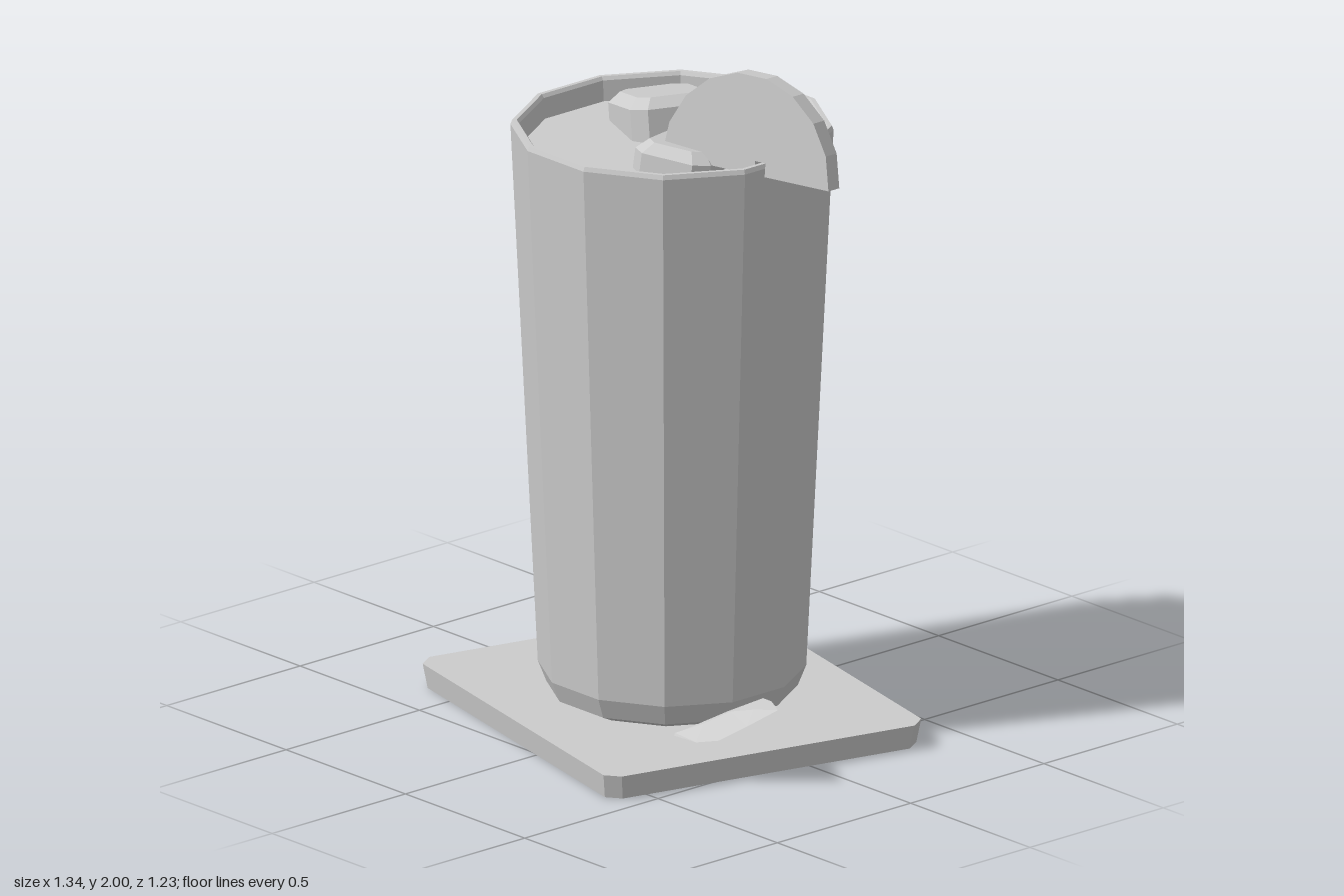
import * as THREE from 'three';

// Closed solid through rings of [x, y, z] points, each counterclockwise from above
function loft(rings) {
  const pos = [];
  const tri = (a, b, c) => pos.push(...a, ...b, ...c);
  const n = rings[0].length;
  for (let r = 0; r < rings.length - 1; r++) {
    const lo = rings[r], hi = rings[r + 1];
    for (let i = 0; i < n; i++) {
      const j = (i + 1) % n;
      tri(lo[i], lo[j], hi[j]);
      tri(lo[i], hi[j], hi[i]);
    }
  }
  const bottom = rings[0], top = rings[rings.length - 1];
  for (let i = 1; i < n - 1; i++) {
    tri(top[0], top[i], top[i + 1]);
    tri(bottom[0], bottom[i + 1], bottom[i]);
  }
  const geo = new THREE.BufferGeometry();
  geo.setAttribute('position', new THREE.Float32BufferAttribute(pos, 3));
  geo.computeVertexNormals();
  return geo;
}

// Square ring with cut corners
function cutSquare(h, cut, y) {
  const k = h - cut;
  return [[k, h], [h, k], [h, -k], [k, -h], [-k, -h], [-h, -k], [-h, k], [-k, h]].map(([x, z]) => [x, y, z]);
}

// Ice cube with bevelled edges and corners
function iceGeometry(h, b) {
  return loft([
    cutSquare(h - b, b, -h), cutSquare(h, b * 1.3, -h + b),
    cutSquare(h, b * 1.3, h - b), cutSquare(h - b, b, h),
  ]);
}

export function createModel() {
  const group = new THREE.Group();
  const grey = new THREE.MeshStandardMaterial({ color: 0xcccccc, flatShading: true, side: THREE.DoubleSide });
  grey.name = 'light grey';
  const add = (name, geo) => {
    const mesh = new THREE.Mesh(geo, grey);
    mesh.name = name;
    group.add(mesh);
    return mesh;
  };

  // Coaster: turned square with cut corners, narrowing slightly downwards
  const half = [[0.4, 0.615], [0.443, 0.585], [0.668, -0.312], [0.637, -0.365]];
  const outline = [...half, ...half.map(([x, z]) => [-x, -z])];
  const coasterRing = (s, y) => outline.map(([x, z]) => [x * s, y, z * s]);
  add('coaster', loft([coasterRing(0.98, 0), coasterRing(1, 0.07)]));

  // Twelve-sided tumbler; radii are measured to the middle of a side
  const lathe = (profile) => new THREE.LatheGeometry(
    profile.map(([r, y]) => new THREE.Vector2(r / Math.cos(Math.PI / 12), y)), 12).rotateY(Math.PI / 12);
  add('glass', lathe([
    [0, 0.075], [0.3, 0.075], [0.34, 0.095], [0.363, 0.155], [0.437, 1.742],
    [0.432, 1.755], [0.42, 1.755], [0.413, 1.745], [0.402, 1.6],
  ]));
  add('drinkSurface', lathe([[0.409, 1.685], [0, 1.685]]));

  // Floating ice cubes
  const ice = [
    { h: 0.13, b: 0.03, at: [-0.138, 1.655, -0.098], turn: [0, -0.38, 0.2] },
    { h: 0.118, b: 0.03, at: [0.14, 1.637, 0.09], turn: [-0.12, 0.39, -0.08] },
  ];
  ice.forEach(({ h, b, at, turn }, i) => {
    const cube = add('iceCube' + (i + 1), iceGeometry(h, b));
    cube.position.set(...at);
    cube.rotation.set(...turn, 'YXZ');
  });

  // Fruit slice: half disc with a slot that sits over the rim
  const R = 0.28, slice = new THREE.Shape();
  slice.moveTo(-R, 0);
  [[0.03, 0], [0.03, 0.04], [0.065, 0.04], [0.065, 0], [R, 0]].forEach(([x, y]) => slice.lineTo(x, y));
  for (let i = 1; i < 9; i++) {
    const a = (Math.PI * i) / 9;
    slice.lineTo(R * Math.cos(a), R * Math.sin(a) * 1.015);
  }
  const sliceGeo = new THREE.ExtrudeGeometry(slice, { depth: 0.055, bevelEnabled: false });
  const wedge = add('fruitSlice', sliceGeo.translate(0, 0, -0.0275));
  wedge.position.set(0.38, 1.72, 0.045);
  wedge.rotation.set(-0.12, 0.25, 0, 'YXZ');

  // Leaf: rows of back edge, midrib and front edge from stem to tip
  const rows = [
    [[0.31, 0.088, 0.262], [0.31, 0.09, 0.266], [0.31, 0.083, 0.27]],
    [[0.42, 0.16, 0.165], [0.4, 0.135, 0.238], [0.42, 0.095, 0.285]],
    [[0.51, 0.21, 0.115], [0.495, 0.192, 0.225], [0.525, 0.13, 0.295]],
    [[0.575, 0.224, 0.142], [0.575, 0.215, 0.208], [0.595, 0.18, 0.25]],
    [[0.655, 0.23, 0.188], [0.655, 0.23, 0.19], [0.655, 0.229, 0.192]],
  ];
  const leafIndex = [];
  for (let r = 0; r < rows.length - 1; r++) {
    for (let c = 0; c < 2; c++) {
      const a = r * 3 + c;
      leafIndex.push(a, a + 1, a + 4, a, a + 4, a + 3);
    }
  }
  const leafGeo = new THREE.BufferGeometry();
  leafGeo.setAttribute('position', new THREE.Float32BufferAttribute(rows.flat(2), 3));
  leafGeo.setIndex(leafIndex);
  leafGeo.computeVertexNormals();
  add('leaf', leafGeo);

  return group;
}
